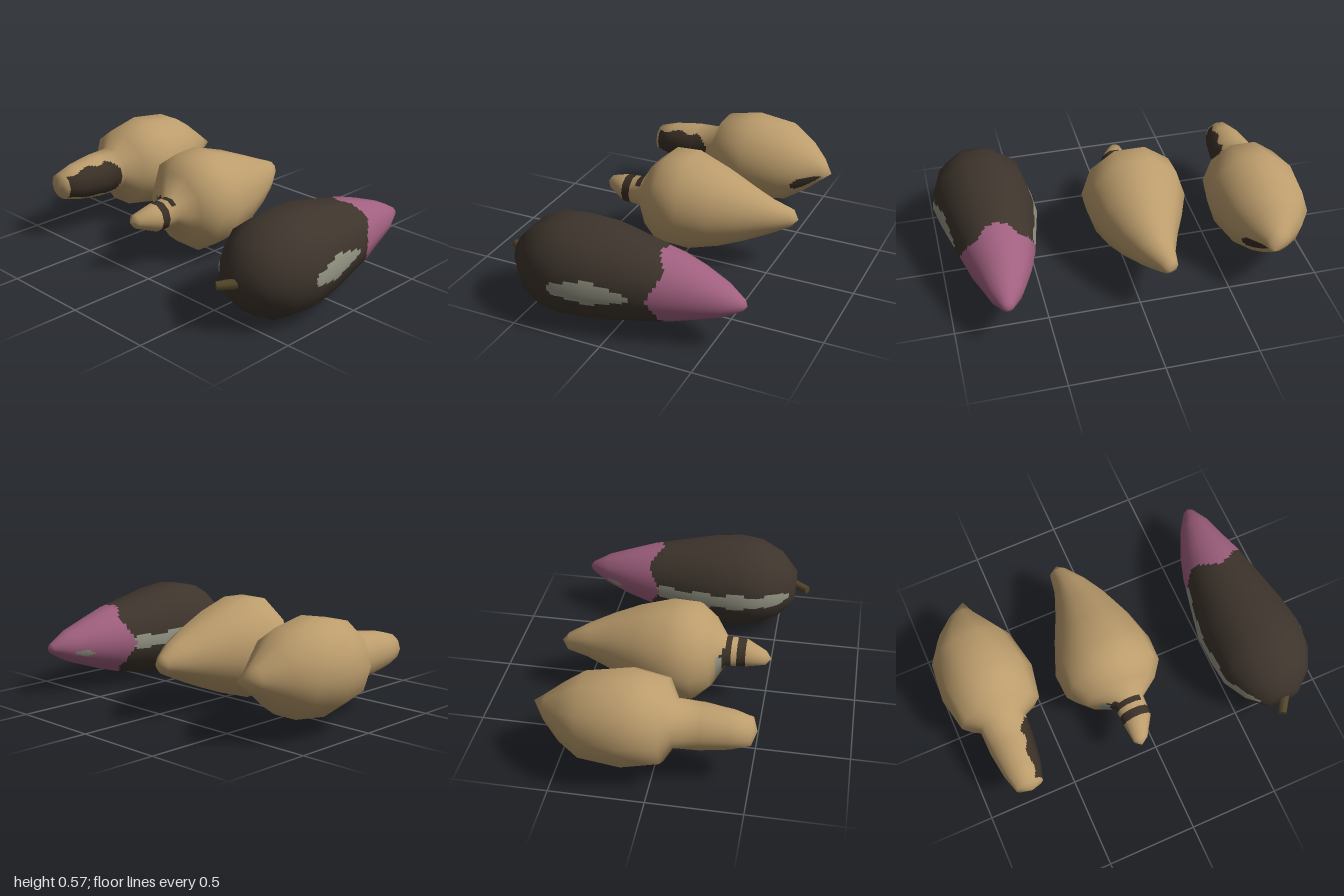
import * as THREE from 'three';

const SIDES = 10;
const material = (name, color) => {
  const m = new THREE.MeshStandardMaterial({ color });
  m.name = name;
  return m;
};

// Ten-sided body lofted along z from rings [z, centreX, radius], with smooth normals.
// pick(angleInDegrees, z) chooses the material index of each small cell.
function loft(rings, centreY, materials, pick, name) {
  const SUB = 9, STEP = 0.016, pos = [], nor = [];
  const cells = materials.map(() => []);

  // slope normal (radial, axial) at each ring
  const slopes = rings.map((r, j) => {
    const n = new THREE.Vector2();
    for (const k of [j - 1, j]) {
      if (k < 0 || k + 1 >= rings.length) continue;
      const [a, b] = [rings[k], rings[k + 1]];
      n.add(new THREE.Vector2(b[0] - a[0], a[2] - b[2]).normalize());
    }
    if (r[2] === 0) n.set(0, j ? 1 : -1);
    return n.normalize();
  });

  // fine rows between the main rings
  const rows = [];
  for (let j = 0; j < rings.length - 1; j++) {
    const a = rings[j], b = rings[j + 1];
    const count = Math.max(1, Math.ceil((b[0] - a[0]) / STEP));
    const last = j === rings.length - 2 ? 1 : 0;
    for (let k = 0; k < count + last; k++) {
      const t = k / count;
      rows.push({
        ring: a.map((v, i) => v + (b[i] - v) * t),
        slope: slopes[j].clone().lerp(slopes[j + 1], t),
      });
    }
  }

  const N = SIDES * SUB;
  for (const { ring: [z, cx, r], slope } of rows) {
    for (let i = 0; i <= N; i++) {
      const s = Math.floor(i / SUB), t = (i % SUB) / SUB;
      const a0 = s * Math.PI * 2 / SIDES, a1 = (s + 1) * Math.PI * 2 / SIDES;
      const c = Math.cos(a0) * (1 - t) + Math.cos(a1) * t;
      const d = Math.sin(a0) * (1 - t) + Math.sin(a1) * t;
      pos.push(cx + c * r, centreY + d * r, z);
      const n = new THREE.Vector3(c * slope.x, d * slope.x, slope.y).normalize();
      nor.push(n.x, n.y, n.z);
    }
  }
  for (let j = 0; j < rows.length - 1; j++) {
    const z = (rows[j].ring[0] + rows[j + 1].ring[0]) / 2;
    for (let i = 0; i < N; i++) {
      const a = j * (N + 1) + i, b = a + N + 1;
      cells[pick((i + 0.5) * 360 / N, z)].push(a, a + 1, b + 1, a, b + 1, b);
    }
  }

  const g = new THREE.BufferGeometry();
  g.setAttribute('position', new THREE.Float32BufferAttribute(pos, 3));
  g.setAttribute('normal', new THREE.Float32BufferAttribute(nor, 3));
  g.setIndex(cells.flat());
  let start = 0;
  cells.forEach((list, i) => {
    g.addGroup(start, list.length, i);
    start += list.length;
  });
  const mesh = new THREE.Mesh(g, materials);
  mesh.name = name;
  return mesh;
}

// signed angle difference in degrees
const turn = (a, b) => ((a - b + 540) % 360) - 180;
// true inside an ellipse on the surface
const oval = (a, z, a0, z0, halfAngle, halfZ) =>
  (turn(a, a0) / halfAngle) ** 2 + ((z - z0) / halfZ) ** 2 < 1;

export function createModel() {
  const tan = material('tan skin', 0xbb9c6c);
  const bark = material('dark brown mark', 0x3a3026);
  const skin = material('dark skin', 0x3d342c);
  const pink = material('pink tip', 0xa0607f);
  const grey = material('grey patch', 0x949484);
  const olive = material('olive stalk', 0x52462a);
  const model = new THREE.Group();

  // thick-necked gourd on the right
  model.add(loft([
    [-0.63, -0.69, 0], [-0.56, -0.73, 0.07], [-0.46, -0.75, 0.157], [-0.35, -0.75, 0.23],
    [-0.13, -0.738, 0.262], [0.06, -0.735, 0.225], [0.115, -0.745, 0.13],
    [0.25, -0.745, 0.126], [0.4, -0.745, 0.105], [0.5, -0.745, 0.075], [0.525, -0.74, 0],
  ], 0.325, [tan, bark], (a, z) => {
    const wave = 6 * Math.sin(z * 40);
    const neck = z > 0.15 && z < 0.485 &&
      Math.abs(turn(a, 0)) < Math.min(54, 25 + (z - 0.15) * 350) + wave;
    return neck || oval(a, z, 335, -0.49, 14, 0.08) ? 1 : 0;
  }, 'thickNeckGourd'));

  // thin-necked gourd in the middle
  model.add(loft([
    [-0.63, -0.12, 0], [-0.59, -0.125, 0.05], [-0.48, -0.093, 0.1], [-0.35, -0.082, 0.16],
    [-0.2, -0.085, 0.225], [-0.02, -0.097, 0.283], [0.12, -0.095, 0.277],
    [0.21, -0.085, 0.2], [0.28, -0.07, 0.085], [0.39, -0.07, 0.08],
    [0.5, -0.1, 0.04], [0.53, -0.105, 0],
  ], 0.305, [tan, bark, grey], (a, z) => {
    if (oval(a, z, 188, 0.25, 28, 0.016)) return 2;
    const band = z > 0.345 && z < 0.395;
    const collar = z > 0.275 && z < 0.305 && a > 45 && a < 235;
    return band || collar || oval(a, z, 180, 0.28, 45, 0.025) ? 1 : 0;
  }, 'thinNeckGourd'));

  // dark fruit with a pink tip and grey side patches
  model.add(loft([
    [-0.675, 0.73, 0], [-0.655, 0.728, 0.03], [-0.55, 0.72, 0.092], [-0.4, 0.708, 0.148],
    [-0.27, 0.708, 0.19], [0.08, 0.71, 0.266], [0.25, 0.725, 0.278],
    [0.38, 0.723, 0.262], [0.5, 0.725, 0.197], [0.594, 0.72, 0.092], [0.597, 0.72, 0],
  ], 0.265, [skin, pink, grey], (a, z) => {
    if (oval(a, z, 198, -0.5, 9, 0.05)) return 2;
    if (z < -0.24 + 0.028 * Math.cos(a * Math.PI / 45)) return 1;
    const onLeft = z > -0.125 && z < 0.295 &&
      Math.abs(turn(a, 0)) < 16 - 11 * Math.abs(z - 0.09) / 0.21;
    const onRight = z < 0.57 && Math.abs(turn(a, 180)) < 10 + 2 * Math.sin(z * 30);
    return onLeft || onRight ? 2 : 0;
  }, 'darkFruit'));

  // stalk
  const from = new THREE.Vector3(0.75, 0.265, 0.555), to = new THREE.Vector3(0.678, 0.263, 0.668);
  const axis = to.clone().sub(from);
  const stalk = new THREE.Mesh(new THREE.CylinderGeometry(0.023, 0.031, axis.length(), 8), olive);
  stalk.name = 'stalk';
  stalk.position.copy(from).add(to).multiplyScalar(0.5);
  stalk.quaternion.setFromUnitVectors(new THREE.Vector3(0, 1, 0), axis.normalize());
  model.add(stalk);

  return model;
}
